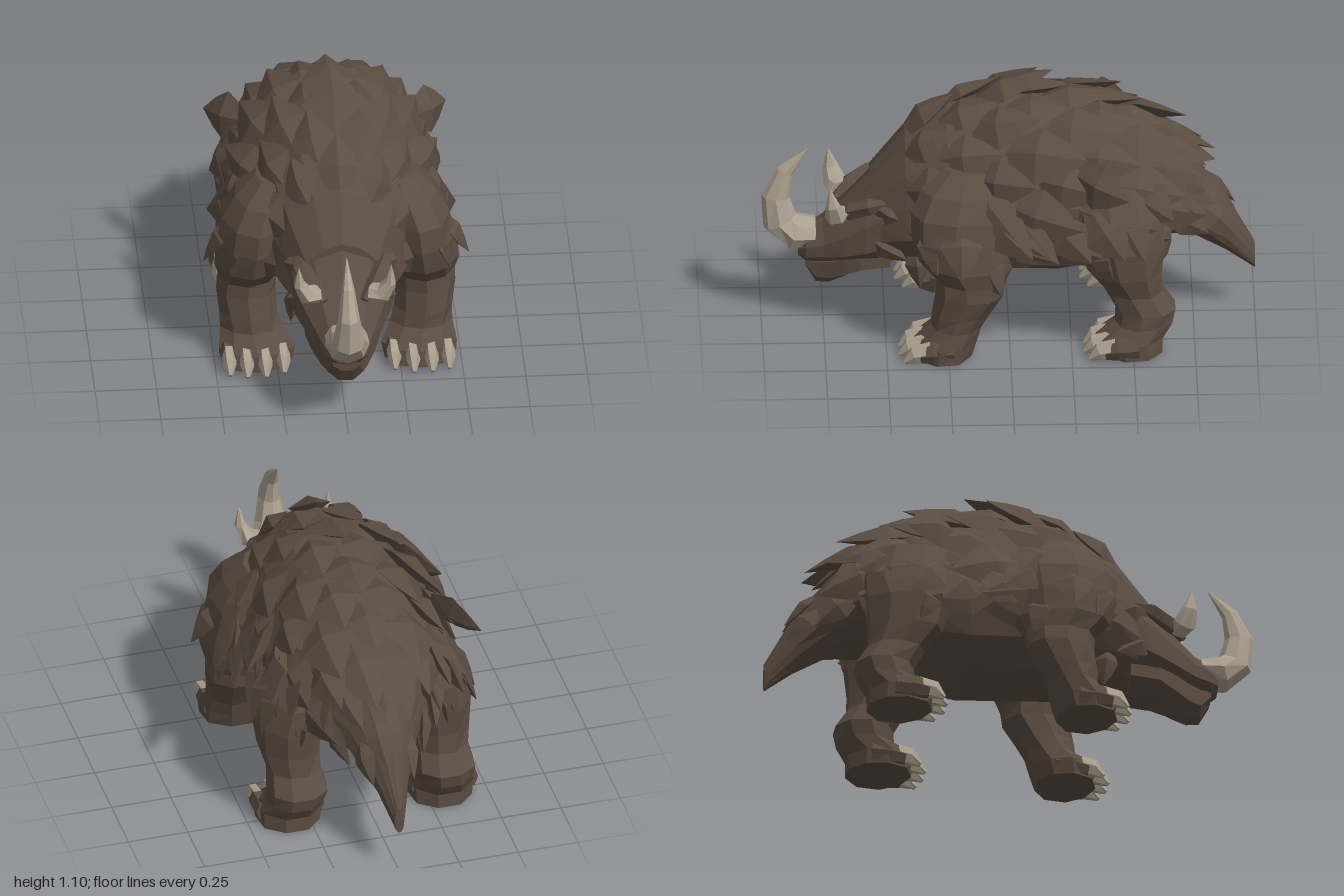
import * as THREE from 'three';
import { mergeGeometries } from 'three/addons/utils/BufferGeometryUtils.js';

const V = (x, y, z) => new THREE.Vector3(x, y, z);

// Skin a list of rings (each a loop of points) and cap both ends.
function loft(rings) {
  const pos = [];
  const tri = (...pts) => pts.forEach((p) => pos.push(p.x, p.y, p.z));
  const n = rings[0].length;
  const mid = (r) => r.reduce((s, p) => s.add(p), V(0, 0, 0)).divideScalar(n);
  const first = rings[0], last = rings[rings.length - 1];
  const c0 = mid(first), c1 = mid(last);
  for (let j = 0; j < n; j++) {
    const k = (j + 1) % n;
    for (let i = 0; i + 1 < rings.length; i++) {
      const a = rings[i], b = rings[i + 1];
      tri(a[j], a[k], b[k]);
      tri(a[j], b[k], b[j]);
    }
    tri(c0, first[k], first[j]);
    tri(c1, last[j], last[k]);
  }
  const g = new THREE.BufferGeometry();
  g.setAttribute('position', new THREE.Float32BufferAttribute(pos, 3));
  g.computeVertexNormals();
  return g;
}

// Ring round a centre with half-axes u and v; rough gives uneven, chiselled facets.
function ring(c, u, v, sides, i = 0, rough = 0) {
  return Array.from({ length: sides }, (_, j) => {
    const a = (j / sides) * Math.PI * 2;
    const k = 1 + rough * Math.sin(i * 5.1 + Math.sin(a) * 9);
    return c.clone().addScaledVector(u, Math.cos(a) * k).addScaledVector(v, Math.sin(a) * k);
  });
}

// Tapered shape along a path: a = half size along ref, b = half size across it.
function spike(pts, a, b, ref, sides) {
  return loft(pts.map((p, i) => {
    const t = pts[Math.min(i + 1, pts.length - 1)].clone().sub(pts[Math.max(i - 1, 0)]).normalize();
    const u = ref.clone().addScaledVector(t, -ref.dot(t)).normalize();
    const v = t.clone().cross(u);
    return ring(p, u.multiplyScalar(a[i]), v.multiplyScalar(b[i]), sides);
  }));
}

// Pointed lock of fur lying along dir, with its ridge along normal.
function tuft(root, dir, normal, len, width, thick) {
  const d = dir.clone().normalize();
  const at = (f, lift) => root.clone().addScaledVector(d, f * len).addScaledVector(normal, lift * len);
  return spike([at(0, -0.08), at(0.4, 0.0), at(0.7, 0.01), at(1, 0.03)],
    [0.4, 1, 0.65, 0.03].map((k) => k * thick), [0.5, 1, 0.62, 0.02].map((k) => k * width), normal, 4);
}

// Cross-sections along z: [z, top, bottom, half width]
const TORSO = [
  [-1.0, 0.32, 0.20, 0.02], [-0.88, 0.54, 0.29, 0.075], [-0.74, 0.71, 0.38, 0.15],
  [-0.60, 0.83, 0.40, 0.26], [-0.42, 0.93, 0.29, 0.345], [-0.2, 0.98, 0.25, 0.365],
  [0.05, 1.0, 0.26, 0.36], [0.25, 0.96, 0.27, 0.33], [0.42, 0.85, 0.28, 0.26], [0.56, 0.68, 0.29, 0.18]];
const HEAD = [
  [0.36, 0.86, 0.28, 0.21], [0.48, 0.75, 0.27, 0.21], [0.58, 0.63, 0.27, 0.195],
  [0.67, 0.53, 0.27, 0.165], [0.75, 0.45, 0.27, 0.125], [0.82, 0.41, 0.27, 0.095], [0.85, 0.37, 0.29, 0.06]];
const JAW = [
  [0.48, 0.41, 0.255, 0.165], [0.60, 0.40, 0.24, 0.16], [0.67, 0.38, 0.20, 0.135],
  [0.73, 0.36, 0.17, 0.105], [0.78, 0.34, 0.17, 0.08], [0.82, 0.33, 0.24, 0.06]];

function sectionPoint([z, top, bot, rx], a) {
  const mid = bot + (top - bot) * 0.43, s = Math.sin(a);
  return V(rx * Math.cos(a), mid + s * (s > 0 ? top - mid : mid - bot), z);
}

const sectionLoft = (sections, sides, rough) => loft(sections.map((s, i) =>
  Array.from({ length: sides }, (_, j) => {
    const a = ((j + 0.5) / sides) * Math.PI * 2;
    const k = 1 + rough * Math.sin(i * 5.1 + Math.sin(a) * 9);
    return sectionPoint([s[0], s[1], s[2], s[3] * k], a);
  })));

// Point on the torso at any z
function torsoPoint(z, a) {
  let i = 0;
  while (i < TORSO.length - 2 && TORSO[i + 1][0] < z) i++;
  const f = (z - TORSO[i][0]) / (TORSO[i + 1][0] - TORSO[i][0]);
  return sectionPoint(TORSO[i].map((q, k) => q + (TORSO[i + 1][k] - q) * f), a);
}

// Leg cross-sections: [x, y, z, half width, half depth]
const FRONT_LEG = [
  [0.33, 0.005, 0.275, 0.145, 0.125], [0.33, 0.07, 0.265, 0.15, 0.13], [0.345, 0.14, 0.22, 0.125, 0.105],
  [0.355, 0.20, 0.195, 0.122, 0.12], [0.365, 0.29, 0.155, 0.128, 0.14], [0.36, 0.35, 0.155, 0.125, 0.145],
  [0.35, 0.42, 0.18, 0.145, 0.195], [0.335, 0.53, 0.19, 0.15, 0.22], [0.325, 0.63, 0.18, 0.14, 0.22],
  [0.29, 0.72, 0.17, 0.125, 0.18], [0.25, 0.80, 0.15, 0.08, 0.11]];
const HIND_LEG = [
  [0.32, 0.005, -0.49, 0.135, 0.135], [0.32, 0.07, -0.48, 0.14, 0.14], [0.315, 0.13, -0.54, 0.12, 0.12],
  [0.31, 0.19, -0.555, 0.128, 0.125], [0.31, 0.27, -0.51, 0.115, 0.12], [0.315, 0.36, -0.47, 0.13, 0.155],
  [0.315, 0.48, -0.45, 0.14, 0.18], [0.29, 0.60, -0.44, 0.14, 0.19], [0.25, 0.73, -0.42, 0.11, 0.16]];

export function createModel() {
  const model = new THREE.Group();
  const fur = new THREE.MeshStandardMaterial({ color: 0x5b4d42, flatShading: true });
  const horn = new THREE.MeshStandardMaterial({ color: 0xaca190, flatShading: true });
  fur.name = 'brown fur';
  horn.name = 'pale horn';
  const add = (name, geo, mat) => {
    const m = new THREE.Mesh(geo, mat);
    m.name = name;
    model.add(m);
  };

  add('torso', sectionLoft(TORSO, 14, 0.04), fur);
  add('head', sectionLoft(HEAD, 10, 0.04), fur);
  add('lowerJaw', sectionLoft(JAW, 8, 0.03), fur);

  // Overlapping rows of long fur from neck to tail
  const coat = [];
  for (let row = 0; row < 10; row++) {
    const z = 0.42 - row * 0.135;
    const tail = z < -0.6, neck = z > 0.2;
    const count = tail ? 5 : 7;
    const len = tail ? 0.2 : neck ? 0.25 : 0.31;
    const shift = row % 2 ? 0.5 : 0;
    for (let k = 0; k + shift <= count - 1; k++) {
      const e = (k + shift) / (count - 1) * 2 - 1, out = Math.abs(e);
      const a = Math.PI / 2 - e * (Math.PI / 2 + 0.05);
      const p = torsoPoint(z, a);
      const along = torsoPoint(z - 0.1, a).sub(p).normalize();
      const around = torsoPoint(z, a + 0.05).sub(torsoPoint(z, a - 0.05)).normalize();
      const n = along.clone().cross(around).normalize();
      const flare = neck ? 0.06 : (0.27 + 0.1 * Math.sin(row * 3 + out * 11)) * (0.6 + 0.6 * out) - (tail ? 0.06 : 0);
      const dir = along.addScaledVector(n, flare).add(V(0, -0.28 * out, 0));
      const vary = 1 + 0.14 * Math.sin(row * 7 + out * 13);
      const width = tail ? 0.06 : neck ? 0.09 : 0.11;
      coat.push(tuft(p, dir, n, Math.min(len * vary, z + 1.01), width * vary, tail ? 0.025 : 0.04));
    }
  }
  add('furCoat', mergeGeometries(coat), fur);

  // Horn on the snout, curving up and back
  add('noseHorn', spike(
    [[0.39, 0.78], [0.39, 0.87], [0.44, 0.925], [0.55, 0.942], [0.66, 0.905], [0.76, 0.815]].map(([y, z]) => V(0, y, z)),
    [0.085, 0.09, 0.066, 0.045, 0.027, 0.002], [0.055, 0.075, 0.072, 0.058, 0.036, 0.002], V(1, 0, 0), 8), horn);

  for (const s of [1, -1]) {
    const side = s > 0 ? 'left' : 'right';

    // Cheek horns
    add(side + 'CheekHorn', spike(
      [V(s * 0.11, 0.525, 0.68), V(s * 0.16, 0.535, 0.70), V(s * 0.185, 0.59, 0.715), V(s * 0.188, 0.67, 0.725)],
      [0.045, 0.048, 0.032, 0.002], [0.035, 0.038, 0.024, 0.002], V(0, 0, 1), 6), horn);

    // Legs, each with four claws
    for (const [name, rings, toe] of [['FrontLeg', FRONT_LEG, 0.38], ['HindLeg', HIND_LEG, -0.37]]) {
      add(side + name, loft(rings.map(([x, y, z, w, d], i) =>
        ring(V(s * x, y, z), V(0, 0, d), V(w, 0, 0), 9, i, 0.05))), fur);
      const toes = [], claws = [];
      [-0.105, -0.03, 0.045, 0.115].forEach((o, i) => {
        const x = s * (rings[0][0] + o), z = toe - [0.03, 0, 0, 0.02][i];
        toes.push(spike([V(x, 0.06, z - 0.13), V(x, 0.055, z - 0.05), V(x, 0.045, z + 0.01)],
          [0.032, 0.037, 0.026], [0.045, 0.05, 0.036], V(1, 0, 0), 6));
        claws.push(spike([V(x, 0.06, z - 0.04), V(x, 0.046, z + 0.03), V(x, 0.014, z + 0.07)],
          [0.029, 0.028, 0.009], [0.043, 0.039, 0.01], V(1, 0, 0), 6));
      });
      add(side + name + 'Toes', mergeGeometries(toes), fur);
      add(side + name + 'Claws', mergeGeometries(claws), horn);
    }

    // Shaggy locks on shoulder, flank, hip and cheek: [x, y, z, dx, dy, dz, length, width]
    const locks = [
      [0.43, 0.62, 0.20, 0.42, -0.8, 0.0, 0.22, 0.085], [0.40, 0.64, 0.08, 0.35, -0.5, -0.6, 0.24, 0.09],
      [0.39, 0.60, 0.30, 0.3, -0.9, 0.0, 0.20, 0.08], [0.36, 0.74, 0.12, 0.4, -0.6, -0.5, 0.24, 0.1],
      [0.33, 0.74, 0.28, 0.3, -0.9, -0.2, 0.20, 0.09], [0.40, 0.58, 0.0, 0.25, -0.5, -0.8, 0.24, 0.09],
      [0.44, 0.48, 0.12, 0.1, -0.8, -0.4, 0.18, 0.07], [0.37, 0.60, -0.18, 0.3, -0.6, -0.6, 0.22, 0.09],
      [0.36, 0.80, -0.28, 0.5, -0.2, -0.8, 0.24, 0.1], [0.39, 0.64, -0.34, 0.3, -0.7, -0.5, 0.22, 0.1],
      [0.37, 0.64, -0.44, 0.3, -0.7, -0.4, 0.22, 0.09], [0.41, 0.52, -0.38, 0.1, -0.9, -0.2, 0.16, 0.07],
      [0.30, 0.70, -0.50, 0.25, -0.45, -0.7, 0.20, 0.1], [0.20, 0.68, -0.58, 0.2, -0.5, -0.8, 0.20, 0.09],
      [0.29, 0.57, -0.56, 0.1, -0.9, -0.25, 0.18, 0.08],
      [0.19, 0.40, 0.38, 0.0, -0.95, -0.1, 0.18, 0.05], [0.18, 0.58, 0.54, 0.25, -0.3, -0.8, 0.17, 0.05],
      [0.17, 0.44, 0.57, 0.25, -0.4, -0.8, 0.18, 0.05]];
    add(side + 'ShaggyLocks', mergeGeometries(locks.map(([x, y, z, dx, dy, dz, l, w]) =>
      tuft(V(s * x, y, z), V(s * dx, dy, dz), V(s, 0.15, 0).normalize(), l, w, 0.035))), fur);

    // Heavy brow behind the cheek horn
    add(side + 'Brow', spike([V(s * 0.08, 0.50, 0.70), V(s * 0.13, 0.54, 0.64), V(s * 0.165, 0.58, 0.56), V(s * 0.18, 0.60, 0.48)],
      [0.01, 0.035, 0.035, 0.01], [0.02, 0.04, 0.04, 0.01], V(0, 1, 0), 5), fur);
  }
  return model;
}
